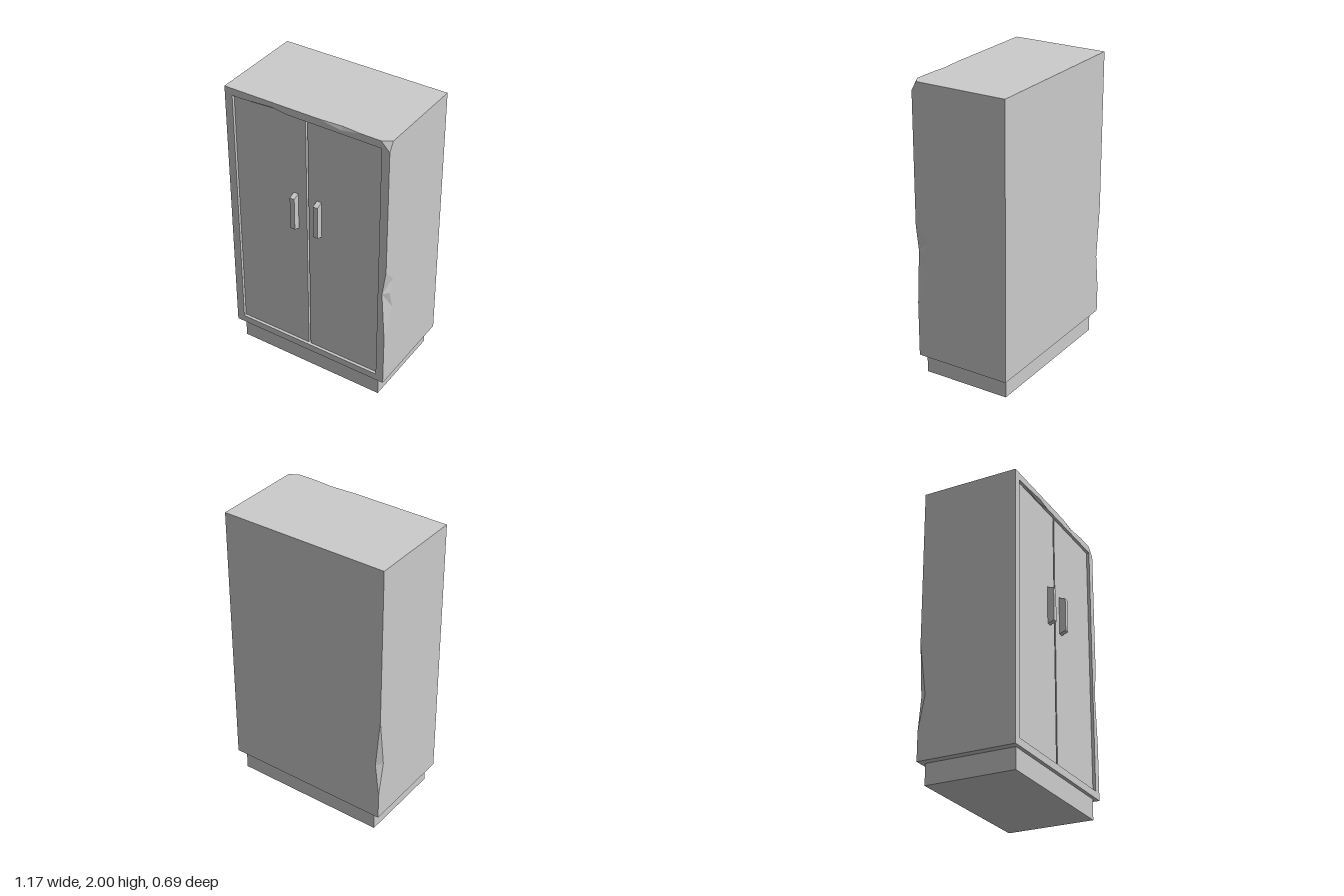
import * as THREE from 'three';

const W = 0.585, F = 0.32, B = -0.345, Y0 = 0.14, T = 2; // carcass limits
const DX = 0.53, DB = 0.19, DT = 1.95;                   // door opening
const DOOR = 0.3, FLOOR = 0.27;                          // door front, recess floor

const V2 = ([a, b]) => new THREE.Vector2(a, b);

// Collects flat-shaded triangles, each turned towards a given outward direction
class Shell {
  constructor() { this.pos = []; }
  tri(a, b, c, out) {
    const [p, q, r] = [a, b, c].map(v => new THREE.Vector3(...v));
    const n = q.clone().sub(p).cross(r.clone().sub(p));
    const order = n.dot(new THREE.Vector3(...out)) < 0 ? [a, c, b] : [a, b, c];
    this.pos.push(...order.flat());
  }
  // planar polygon with optional hole, placed in space by a mapping
  face(outline, place, out, hole) {
    const holes = hole ? [hole.map(V2)] : [];
    let pts = outline.map(V2);
    if (THREE.ShapeUtils.isClockWise(pts)) pts.reverse();
    const all = [...pts, ...holes.flat()];
    for (const t of THREE.ShapeUtils.triangulateShape(pts, holes)) {
      this.tri(...t.map(i => place(all[i].x, all[i].y)), out);
    }
  }
  // chip surface: fan from an apex along a chain of points
  fan(apex, chain, out) {
    for (let i = 0; i + 1 < chain.length; i++) this.tri(apex, chain[i], chain[i + 1], out);
  }
  geometry() {
    const g = new THREE.BufferGeometry();
    g.setAttribute('position', new THREE.Float32BufferAttribute(this.pos, 3));
    g.computeVertexNormals();
    return g;
  }
}

export function createModel() {
  const group = new THREE.Group();
  const material = new THREE.MeshStandardMaterial({ color: 0xcccccc, flatShading: true });
  const add = (name, geometry, x = 0, y = 0, z = 0) => {
    const mesh = new THREE.Mesh(geometry, material);
    mesh.name = name;
    mesh.position.set(x, y, z);
    group.add(mesh);
  };
  const box = (name, x0, x1, y0, y1, z0, z1) => add(name,
    new THREE.BoxGeometry(x1 - x0, y1 - y0, z1 - z0), (x0 + x1) / 2, (y0 + y1) / 2, (z0 + z1) / 2);

  // Carcass with chipped edges
  const s = new Shell();
  const sideDent = [[F, 1.06], [0.23, 0.96], [0.27, 0.87], [0.23, 0.73], [F, 0.52]]; // z, y
  const opening = [[-DX, DB], [-DX, DT], [-0.45, DT], [-0.24, 1.965], [-0.13, DT], [DX, DT], [DX, DB]];

  // front frame
  s.face([[-W, Y0], [W, Y0], [W, 0.52], [0.56, 0.88], [W, 1.06], [W, 1.94], [0.525, T],
    [0.39, T], [0.26, 1.975], [0.1, T], [-W, T]], (x, y) => [x, y, F], [0, 0, 1], opening);
  // top and bottom
  s.face([[-W, B], [W, B], [W, 0.285], [0.525, F], [0.39, F], [0.26, 0.31], [0.1, F], [-W, F]],
    (x, z) => [x, T, z], [0, 1, 0]);
  s.face([[-W, B], [W, B], [W, F], [-W, F]], (x, z) => [x, Y0, z], [0, -1, 0]);
  // sides and back
  s.face([[B, Y0], [B, T], [0.285, T], [F, 1.94], ...sideDent, [F, Y0]],
    (z, y) => [W, y, z], [1, 0, 0]);
  s.face([[F, Y0], [F, T], [B, T], [B, 0.925], [-0.3, 0.565], [B, 0.33], [B, Y0]],
    (z, y) => [-W, y, z], [-1, 0, 0]);
  s.face([[W, Y0], [W, T], [-W, T], [-W, 0.925], [-0.555, 0.565], [-W, 0.33], [-W, Y0]],
    (x, y) => [x, y, B], [0, 0, -1]);

  // chips: top corner, top edge, right front edge, left back edge, inner frame edge
  s.tri([W, 1.94, F], [0.525, T, F], [W, T, 0.285], [1, 1, 1]);
  for (const x of [0.1, 0.39]) s.tri([x, T, F], [0.26, 1.975, F], [0.26, T, 0.31], [0, 1, 1]);
  s.fan([0.56, 0.88, F], sideDent.map(([z, y]) => [W, y, z]), [1, 0, 1]);
  for (const y of [0.33, 0.925]) {
    s.tri([-W, y, B], [-0.555, 0.565, B], [-W, 0.565, -0.3], [-1, 0, -1]);
  }
  const notch = [-0.24, DT, DOOR + 0.002];
  for (const x of [-0.45, -0.13]) s.tri([x, DT, F], [-0.24, 1.965, F], notch, [0, -1, 1]);

  // walls and floor of the door recess
  s.face([[-DX, FLOOR], [-DX, F], [-0.45, F], [-0.24, notch[2]], [-0.13, F], [DX, F], [DX, FLOOR]],
    (x, z) => [x, DT, z], [0, -1, 0]);
  s.face([[-DX, FLOOR], [-DX, F], [DX, F], [DX, FLOOR]], (x, z) => [x, DB, z], [0, 1, 0]);
  for (const k of [-1, 1]) {
    s.face([[FLOOR, DB], [F, DB], [F, DT], [FLOOR, DT]], (z, y) => [k * DX, y, z], [-k, 0, 0]);
  }
  s.face([[-DX, DB], [DX, DB], [DX, DT], [-DX, DT]], (x, y) => [x, y, FLOOR], [0, 0, 1]);
  add('carcass', s.geometry());

  // Plinth
  box('plinth', -0.535, 0.535, 0, Y0, -0.315, 0.295);

  // Doors with a narrow gap between them
  box('rightDoor', -DX, -0.007, DB, DT, FLOOR, DOOR);
  box('leftDoor', 0.007, DX, DB, DT, FLOOR, DOOR);

  // Handles: bars with slanted ends
  const profile = new THREE.Shape([[-DOOR, 1.122], [-0.345, 1.138], [-0.345, 1.37], [-DOOR, 1.386]].map(V2));
  const bar = new THREE.ExtrudeGeometry(profile, { depth: 0.034, bevelEnabled: false });
  bar.translate(0, 0, -0.017).rotateY(Math.PI / 2); // shape x becomes -z
  add('rightHandle', bar, -0.087);
  add('leftHandle', bar, 0.085);

  return group;
}
